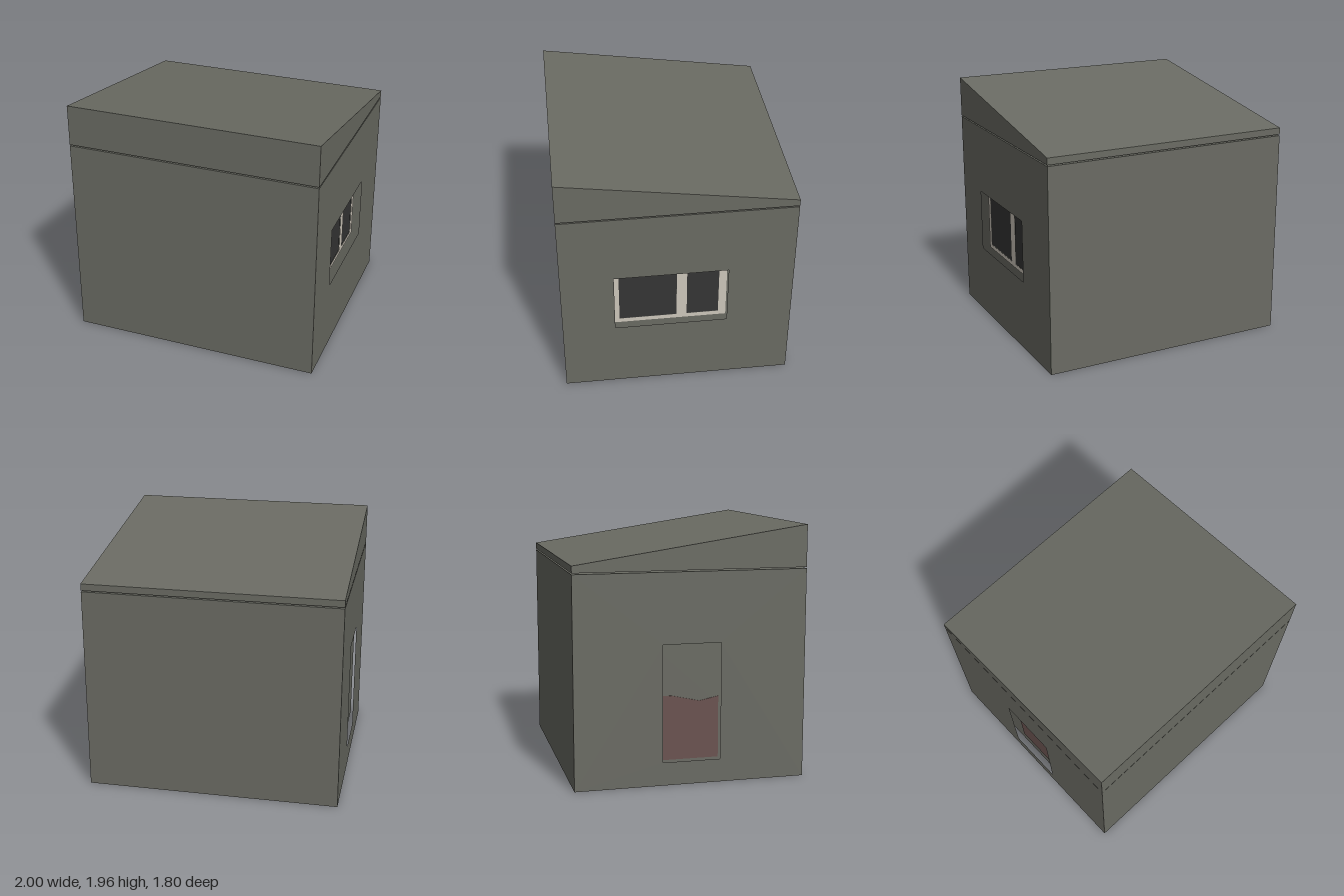
import * as THREE from 'three';

const material = (name, color) => {
  const m = new THREE.MeshStandardMaterial({ color });
  m.name = name;
  return m;
};

// Closed outline from [z, y] points (z is negated so that it survives the turn below)
const outline = (points, Type) => new Type(points.map(([z, y]) => new THREE.Vector2(-z, y)));
const rect = ([z0, z1, y0, y1]) => [[z0, y0], [z1, y0], [z1, y1], [z0, y1]];

// Side profile in z and y, extruded along x from x0 to x1
function slab(name, points, holes, x0, x1, mat) {
  const shape = outline(points, THREE.Shape);
  shape.holes = holes.map((h) => outline(rect(h), THREE.Path));
  const geo = new THREE.ExtrudeGeometry(shape, { depth: x1 - x0, bevelEnabled: false });
  geo.rotateY(Math.PI / 2).translate(x0, 0, 0);
  const mesh = new THREE.Mesh(geo, mat);
  mesh.name = name;
  return mesh;
}

export function createModel() {
  const group = new THREE.Group();
  group.name = 'shed';

  const wall = material('wall grey', 0x6a6b63);
  const frame = material('frame cream', 0xcec7bb);
  const glass = material('dark glass', 0x353535);
  const door = material('door brown', 0x6a5350);

  const D = 0.9, TOP = 1.627, IN = 0.93; // half depth, wall height, recess plane
  const side = rect([-D, D, 0, TOP]);
  const windowHole = [-0.39, 0.49, 0.57, 1.07];
  const doorHole = [-0.22, 0.23, 0.18, 1.085];
  const panes = [[0, 0.45, 0.605, 1.03], [-0.33, -0.08, 0.605, 1.03]];

  // Walls: core block with a pierced skin on each side
  group.add(slab('wallCore', side, [], -IN, IN, wall));
  group.add(slab('windowWall', side, [windowHole], IN, 1, wall));
  group.add(slab('doorWall', side, [doorHole], -1, -IN, wall));

  // Sloping roof block, floating just above the walls
  const roof = [[-D, 1.637], [D, 1.637], [D, 1.96], [-D, 1.69]];
  group.add(slab('roof', roof, [], -1, 1, wall));

  // Recessed window
  group.add(slab('windowFrame', rect(windowHole), panes, IN, IN + 0.007, frame));
  panes.forEach((p) => group.add(slab('windowPane', rect(p), [], IN, IN + 0.004, glass)));

  // Recessed door, brown on its lower part
  const doorPanel = [[-0.22, 0.18], [0.23, 0.18], [0.23, 0.66], [0.08, 0.63], [-0.14, 0.68], [-0.22, 0.68]];
  group.add(slab('doorPanel', doorPanel, [], -IN - 0.004, -IN, door));

  return group;
}
